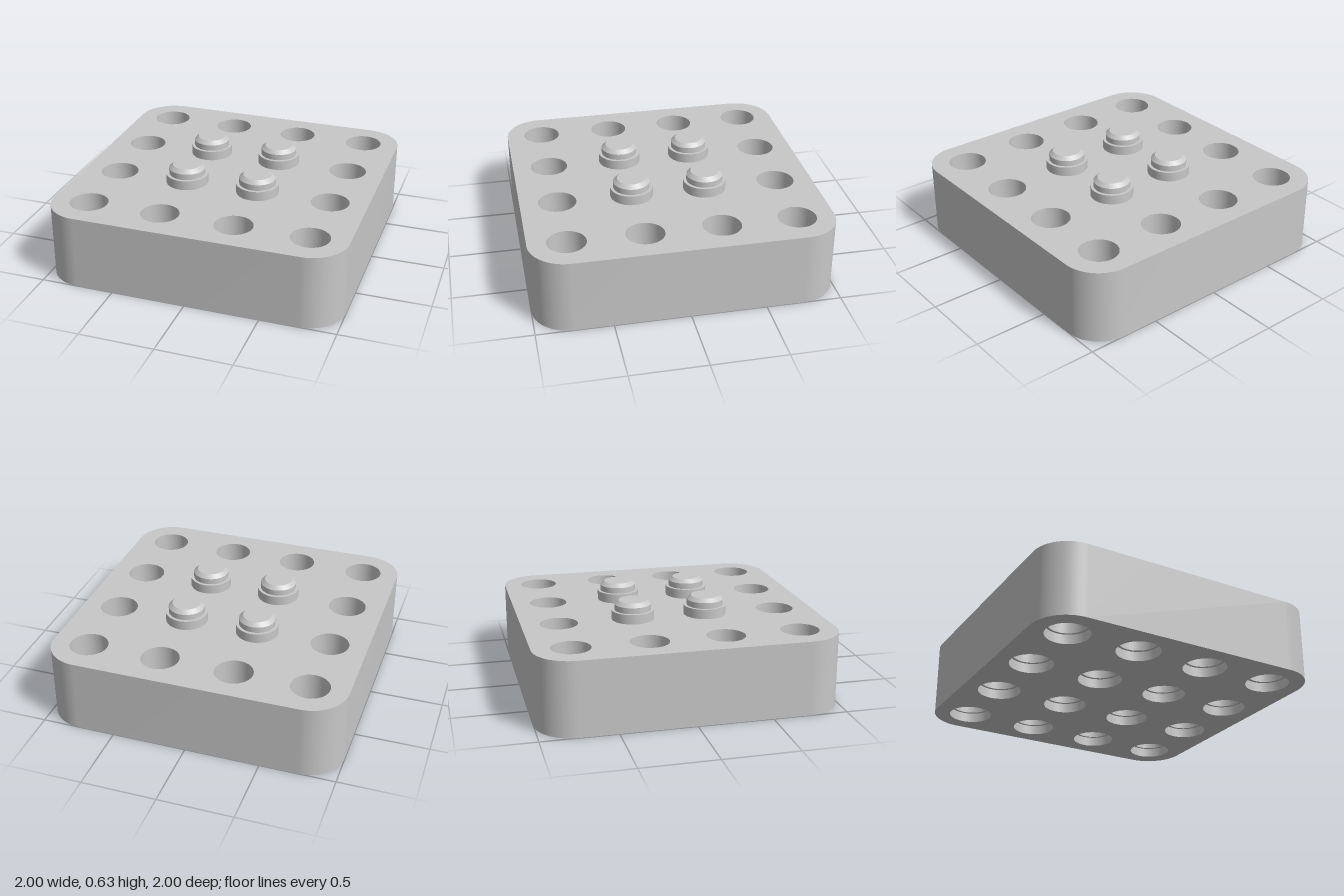
import * as THREE from 'three';
import { toCreasedNormals } from 'three/addons/utils/BufferGeometryUtils.js';

const H = 0.5, BORE = 0.127, COUNTERBORE = 0.145, STEP = 0.065;
const grey = new THREE.MeshStandardMaterial({ color: 0xc8c8c8 });
grey.name = 'grey';

// Rounded square outline, corner radius 0.25
function outline() {
  const s = new THREE.Shape(), c = 0.75, r = 0.25;
  [[1, -1], [1, 1], [-1, 1], [-1, -1]].forEach(([x, y], i) =>
    s.absarc(x * c, y * c, r, (i - 1) * Math.PI / 2, i * Math.PI / 2, false));
  s.closePath();
  return s;
}

// Flat face with round holes, lying level at height y
function face(holes, radius, y, up) {
  const s = outline();
  for (const [x, z] of holes) {
    s.holes.push(new THREE.Path().absarc(x, -z, radius, 0, Math.PI * 2, true));
  }
  const g = new THREE.ShapeGeometry(s, 24);
  // the outline is symmetric, so the lower face can simply be turned over
  g.rotateX(up ? -Math.PI / 2 : Math.PI / 2);
  return g.translate(0, y, 0);
}

// Outer wall: a strip wrapped around the outline
function wall() {
  const pts = outline().getPoints(24);
  const n = pts.length - 1;
  const g = new THREE.PlaneGeometry(1, 1, n, 1);
  const p = g.attributes.position;
  for (let i = 0; i < p.count; i++) {
    const q = pts[i % (n + 1)];
    p.setXYZ(i, q.x, i <= n ? H : 0, -q.y);
  }
  return toCreasedNormals(g, 0.5);
}

// Turned part from [radius, height] points
function turned(profile) {
  const g = new THREE.LatheGeometry(profile.map(([r, y]) => new THREE.Vector2(r, y)), 48);
  return toCreasedNormals(g, 0.5);
}

export function createModel() {
  const group = new THREE.Group();
  const add = (name, geometry, x = 0, z = 0) => {
    const m = new THREE.Mesh(geometry, grey);
    m.name = name;
    m.position.set(x, 0, z);
    group.add(m);
  };

  // 4 x 4 grid: through holes on the rim, studs in the middle
  const grid = [-0.75, -0.25, 0.25, 0.75];
  const all = grid.flatMap(x => grid.map(z => [x, z]));
  const isInner = ([x, z]) => Math.abs(x) < 0.5 && Math.abs(z) < 0.5;

  // Block
  add('blockTop', face(all.filter(p => !isInner(p)), BORE, H, true));
  add('blockBottom', face(all, COUNTERBORE, 0, false));
  add('blockWall', wall());

  // Stepped bores and studs
  const step = [[BORE, STEP], [COUNTERBORE, STEP], [COUNTERBORE, 0]];
  const throughHole = turned([[BORE, H], ...step]);
  const blindHole = turned([[0, 0.3], [BORE, 0.3], ...step]);
  const stud = turned([[0.143, H], [0.143, 0.565], [0.122, 0.565], [0.122, 0.605], [0.095, 0.63], [0, 0.63]]);
  for (const p of all) {
    if (isInner(p)) {
      add('blindHole', blindHole, ...p);
      add('stud', stud, ...p);
    } else {
      add('throughHole', throughHole, ...p);
    }
  }
  return group;
}
